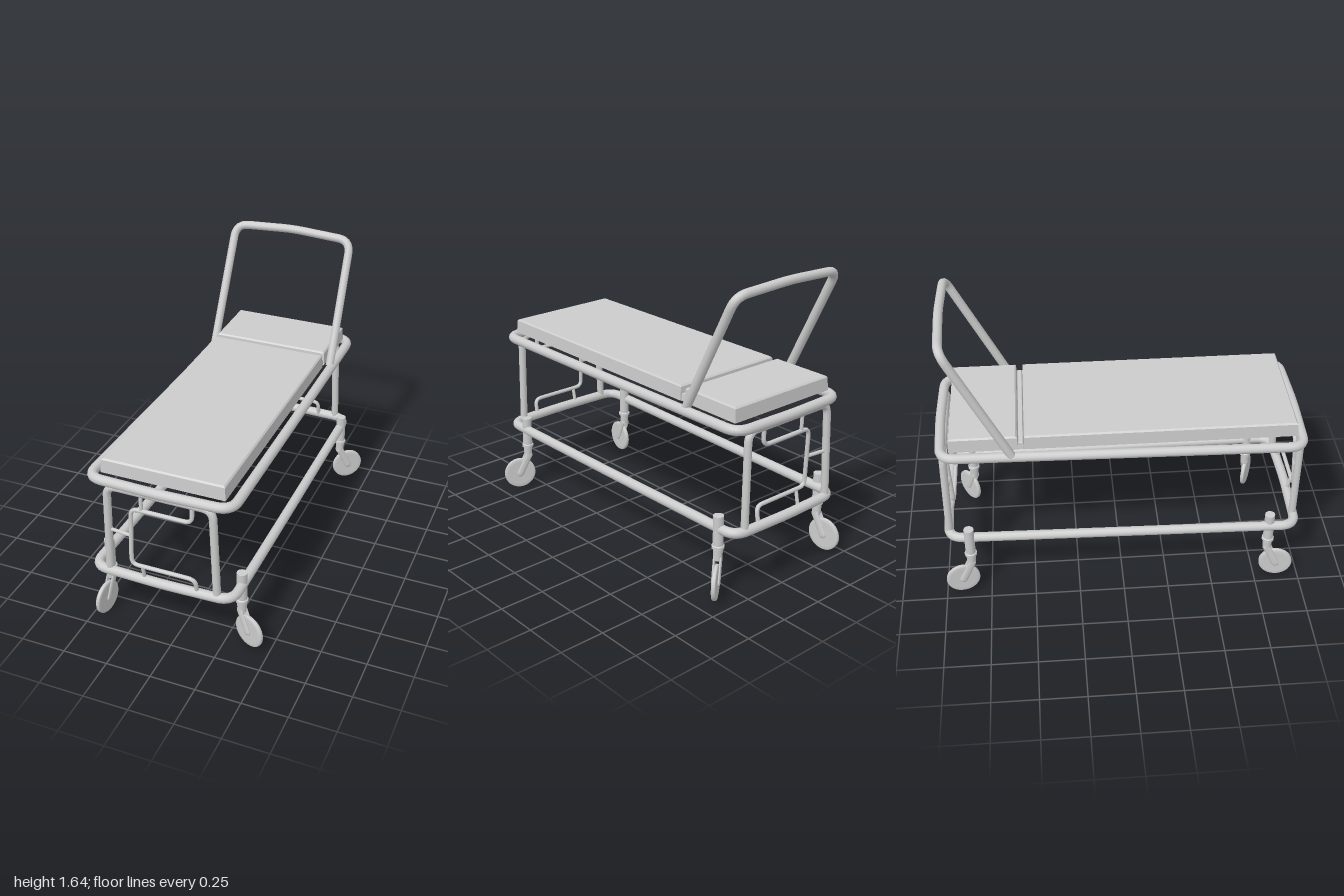
import * as THREE from 'three';

const mat = new THREE.MeshStandardMaterial({ color: 0xcccccc });
const shellMat = new THREE.MeshStandardMaterial({ color: 0xcccccc, side: THREE.DoubleSide });

function add(parent, name, geometry, material = mat) {
  const mesh = new THREE.Mesh(geometry, material);
  mesh.name = name;
  parent.add(mesh);
  return mesh;
}

// Round pipe through the given points, with each inner corner filleted.
function pipe(points, radius, fillet, closed = false) {
  const p = points.map((a) => new THREE.Vector3(...a));
  if (closed) p.push(p[0].clone());
  const path = new THREE.CurvePath();
  let from = p[0];
  for (let i = 1; i < p.length - 1; i++) {
    const toPrev = p[i - 1].clone().sub(p[i]);
    const toNext = p[i + 1].clone().sub(p[i]);
    const r = Math.min(fillet, toPrev.length() * 0.49, toNext.length() * 0.49);
    const a = p[i].clone().addScaledVector(toPrev.normalize(), r);
    const b = p[i].clone().addScaledVector(toNext.normalize(), r);
    path.add(new THREE.LineCurve3(from, a));
    path.add(new THREE.QuadraticBezierCurve3(a, p[i], b));
    from = b;
  }
  path.add(new THREE.LineCurve3(from, p[p.length - 1]));
  const segments = Math.max(6, Math.ceil(path.getLength() * 55));
  return new THREE.TubeGeometry(path, segments, radius, 12, closed);
}

// Open-bottomed pad lofted from rectangles, with a chamfered top edge.
function padGeometry(x0, x1, z0, z1, y0, y1, chamfer) {
  const ring = (y, d) => [
    [x0 + d, y, z0 + d], [x0 + d, y, z1 - d], [x1 - d, y, z1 - d], [x1 - d, y, z0 + d],
  ];
  const rings = [ring(y0, 0), ring(y1 - chamfer, 0.004), ring(y1, 0.004 + chamfer)];
  const pos = [];
  const quad = (a, b, c, d) => pos.push(...a, ...b, ...c, ...a, ...c, ...d);
  for (let r = 0; r < 2; r++) {
    for (let i = 0; i < 4; i++) {
      const j = (i + 1) % 4;
      quad(rings[r][i], rings[r][j], rings[r + 1][j], rings[r + 1][i]);
    }
  }
  quad(...rings[2]);
  const g = new THREE.BufferGeometry();
  g.setAttribute('position', new THREE.Float32BufferAttribute(pos, 3));
  g.computeVertexNormals();
  return g;
}

// Inverted U legs with the thin bent pipe fixed between them.
function endFrame(name, z) {
  const g = new THREE.Group();
  g.name = name;
  add(g, 'legs', pipe([
    [-0.352, 0.375, 0.958], [-0.338, 0.912, 0.964], [0.238, 0.912, 0.964], [0.252, 0.375, 0.958],
  ], 0.021, 0.06));
  add(g, 'bentPipe', pipe([
    [0.128, 0.92, 0.964], [0.128, 0.808, 0.967], [-0.208, 0.808, 0.967],
    [-0.212, 0.472, 0.984], [0.145, 0.472, 0.984], [0.145, 0.38, 0.966],
  ], 0.0115, 0.04));
  add(g, 'upperStub', pipe([[-0.15, 0.92, 0.964], [-0.15, 0.808, 0.967]], 0.01, 0));
  add(g, 'lowerStub', pipe([[-0.15, 0.472, 0.984], [-0.15, 0.38, 0.966]], 0.01, 0));
  add(g, 'sideStub', pipe([[-0.345, 0.645, 0.961], [-0.21, 0.645, 0.975]], 0.01, 0));
  g.position.z = z;
  return g;
}

// Swivel caster; the wheel trails along local +x, turned to the heading.
function caster(name, x, z, dx, dz) {
  const g = new THREE.Group();
  g.name = name;
  const trail = 0.055, axleY = 0.096;
  const stem = [
    [0, 0.45], [0.028, 0.45], [0.028, 0.285], [0.034, 0.281], [0.034, 0.266],
    [0.026, 0.262], [0.024, 0.2], [0, 0.185],
  ];
  // Stacked frusta keep the stem's steps crisp.
  for (let i = 0; i < stem.length - 1; i++) {
    add(g, 'stem', new THREE.LatheGeometry(
      [stem[i + 1], stem[i]].map((s) => new THREE.Vector2(...s)), 16));
  }
  for (const side of [-1, 1]) {
    const len = Math.hypot(trail, 0.21 - axleY);
    const blade = add(g, 'forkBlade', new THREE.CapsuleGeometry(0.021, len, 5, 12));
    blade.scale.z = 0.35;
    blade.rotation.z = Math.atan2(trail, 0.21 - axleY);
    blade.position.set(trail / 2, (0.21 + axleY) / 2, side * 0.017);
  }
  const tread = [[0, -0.011], [0.07, -0.011], [0.088, -0.012], [0.094, -0.006],
    [0.094, 0.006], [0.088, 0.012], [0.07, 0.011], [0, 0.011]];
  const wheel = add(g, 'wheel', new THREE.LatheGeometry(
    tread.map((t) => new THREE.Vector2(...t)), 32));
  wheel.rotation.x = Math.PI / 2;
  wheel.position.set(trail, axleY, 0);
  g.position.set(x, 0, z);
  g.rotation.y = Math.atan2(-dz, dx);
  return g;
}

export function createModel() {
  const model = new THREE.Group();
  model.name = 'wheeledStretcher';

  // Upper and lower pipe rings, slightly tapered and bowed at the ends
  for (const [name, y] of [['upperRing', 0.935], ['lowerRing', 0.376]]) {
    add(model, name, pipe([
      [0.33, y, 0], [0.335, y, 0.96], [-0.05, y, 0.971], [-0.447, y, 0.96],
      [-0.426, y, 0], [-0.405, y, -0.962], [-0.05, y, -0.973], [0.322, y, -0.962],
    ], 0.027, 0.085, true));
  }

  // Two hollow pads joined by a lower strip
  add(model, 'longPad', padGeometry(-0.384, 0.292, -0.522, 0.932, 0.96, 1.04, 0.008), shellMat);
  add(model, 'headPad', padGeometry(-0.384, 0.292, -0.915, -0.55, 0.96, 1.04, 0.008), shellMat);
  add(model, 'padJoint', padGeometry(-0.38, 0.288, -0.552, -0.52, 0.96, 1.0, 0.002), shellMat);

  // Tilted push bar at the head end
  add(model, 'pushBar', pipe([
    [-0.416, 0.945, -0.586], [-0.404, 1.6, -0.912], [-0.05, 1.617, -0.921],
    [0.308, 1.6, -0.912], [0.316, 0.945, -0.586],
  ], 0.024, 0.075));

  model.add(endFrame('frontEndFrame', 0), endFrame('backEndFrame', -1.918));

  model.add(
    caster('frontLeftCaster', 0.33, 0.815, 0.917, 0.4),
    caster('backLeftCaster', 0.327, -0.85, 0.79, -0.61),
    caster('frontRightCaster', -0.432, 0.815, -0.13, 0.99),
    caster('backRightCaster', -0.425, -0.85, -0.15, -0.99),
  );
  return model;
}
